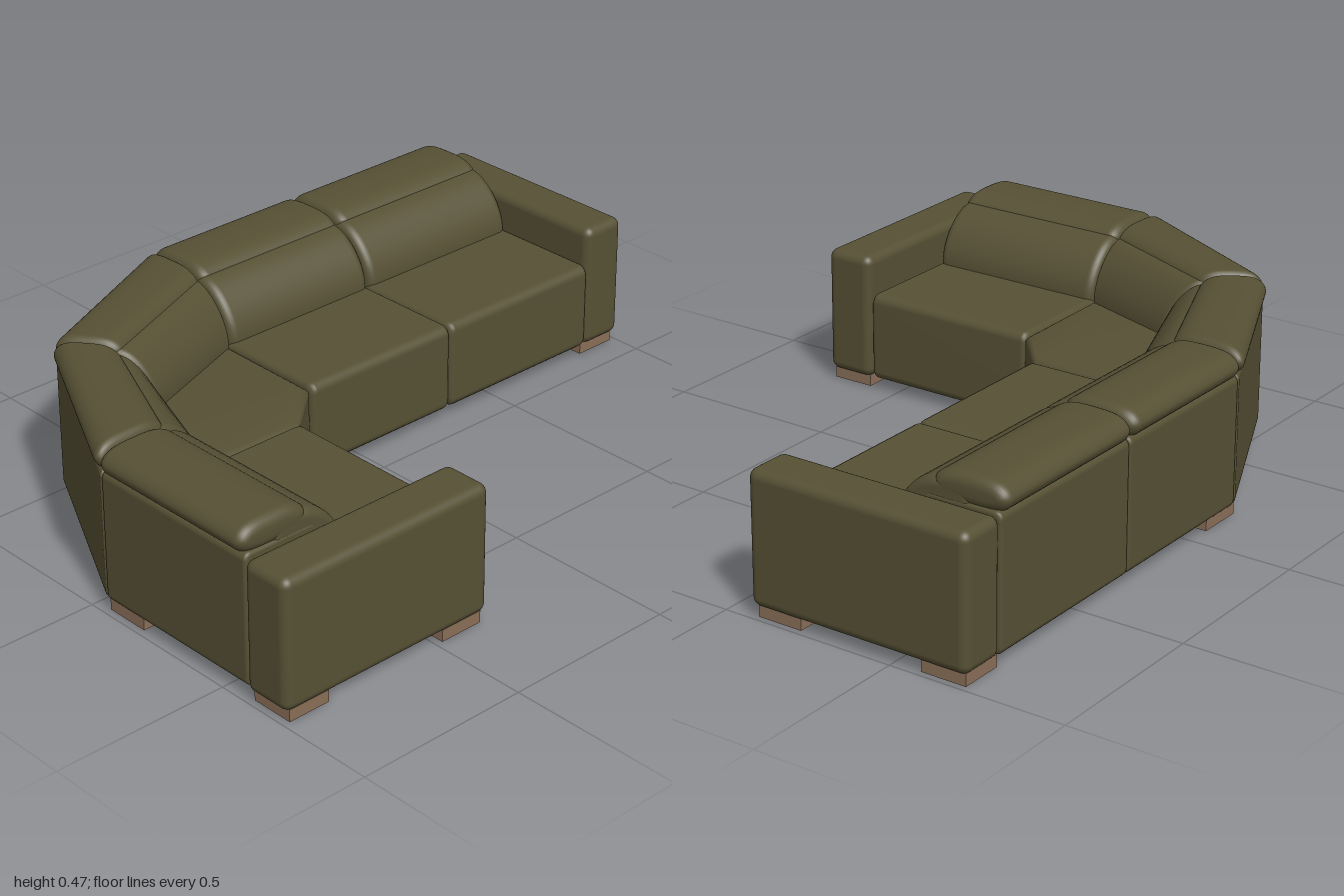
import * as THREE from 'three';
import { toCreasedNormals } from 'three/addons/utils/BufferGeometryUtils.js';
import { RoundedBoxGeometry } from 'three/addons/geometries/RoundedBoxGeometry.js';

// Section joints along the back: outer point (x, z) and inward direction per unit of depth
const JOINTS = [
  { p: [0.862, -0.735], d: [0, 1] },
  { p: [0.318, -0.735], d: [0, 1] },
  { p: [-0.19, -0.735], d: [0, 1] },
  { p: [-0.72, -0.49], d: [0.48, 0.68] },
  { p: [-1, 0.045], d: [1, 0] },
  { p: [-1, 0.58], d: [1, 0] },
];

// Counter-clockwise rounded rectangle in (depth, height)
function roundedRect(d0, d1, y0, y1, r) {
  const pts = [];
  const corners = [[d1 - r, y0 + r, -1], [d1 - r, y1 - r, 0], [d0 + r, y1 - r, 1], [d0 + r, y0 + r, 2]];
  for (const [cx, cy, q] of corners) {
    for (let i = 0; i <= 5; i++) {
      const a = (q + i / 5) * Math.PI / 2;
      pts.push([cx + r * Math.cos(a), cy + r * Math.sin(a)]);
    }
  }
  return pts;
}

// Smooth closed outline through a few points
function softOutline(points, n = 44) {
  const curve = new THREE.CatmullRomCurve3(points.map(([d, y]) => new THREE.Vector3(d, y, 0)), true);
  return curve.getPoints(n).slice(0, n).map((v) => [v.x, v.y]);
}

// Upholstered body: a profile carried between two joints, with rounded ends
function cushion(profile, a, b, r, gap = 0.002) {
  const ds = profile.map((q) => q[0]), ys = profile.map((q) => q[1]);
  const cd = (Math.min(...ds) + Math.max(...ds)) / 2, hd = (Math.max(...ds) - Math.min(...ds)) / 2;
  const cy = (Math.min(...ys) + Math.max(...ys)) / 2, hy = (Math.max(...ys) - Math.min(...ys)) / 2;
  const length = Math.hypot(b.p[0] - a.p[0], b.p[1] - a.p[1]);
  const slices = [];
  for (let i = 0; i <= 6; i++) {
    const ang = i / 6 * Math.PI / 2;
    slices.push([(gap + r * (1 - Math.cos(ang))) / length, r * (1 - Math.sin(ang))]);
  }
  for (const [t, inset] of slices.slice().reverse()) slices.push([1 - t, inset]);

  const pos = [], idx = [], n = profile.length;
  const put = (t, d, y) => {
    const at = (j, k) => j.p[k] + j.d[k] * d;
    pos.push(at(a, 0) * (1 - t) + at(b, 0) * t, y, at(a, 1) * (1 - t) + at(b, 1) * t);
  };
  for (const [t, inset] of slices) {
    const sd = 1 - inset / hd, sy = 1 - inset / hy;
    for (const [d, y] of profile) put(t, cd + (d - cd) * sd, cy + (y - cy) * sy);
  }
  const last = slices.length - 1, c0 = slices.length * n, c1 = c0 + 1;
  put(slices[0][0], cd, cy);
  put(slices[last][0], cd, cy);
  for (let k = 0; k < n; k++) {
    const m = (k + 1) % n;
    for (let i = 0; i < last; i++) {
      const p = i * n, q = p + n;
      idx.push(p + k, p + m, q + m, p + k, q + m, q + k);
    }
    idx.push(c0, m, k, c1, last * n + k, last * n + m);
  }
  const g = new THREE.BufferGeometry();
  g.setAttribute('position', new THREE.Float32BufferAttribute(pos, 3));
  g.setIndex(idx);
  g.computeVertexNormals();
  return g;
}

export function createModel() {
  const group = new THREE.Group();
  const fabric = new THREE.MeshStandardMaterial({ color: 0x565034 });
  fabric.name = 'olive upholstery';
  const wood = new THREE.MeshStandardMaterial({ color: 0x8a6f58 });
  wood.name = 'brown wood';

  const add = (name, geometry, material = fabric) => {
    const mesh = new THREE.Mesh(geometry, material);
    mesh.name = name;
    group.add(mesh);
    return mesh;
  };
  const box = (name, x0, x1, y0, y1, z0, z1, r) => {
    add(name, new RoundedBoxGeometry(x1 - x0, y1 - y0, z1 - z0, 4, r))
      .position.set((x0 + x1) / 2, (y0 + y1) / 2, (z0 + z1) / 2);
  };

  // Profiles in (depth from the back, height)
  const wall = roundedRect(0.012, 0.24, 0.03, 0.4, 0.02);
  const seat = roundedRect(0.1, 0.664, 0.03, 0.288, 0.026);
  const headrest = softOutline([
    [0, 0.425], [0.015, 0.4], [0.06, 0.388], [0.14, 0.39], [0.205, 0.41],
    [0.215, 0.44], [0.18, 0.464], [0.1, 0.47], [0.035, 0.463], [0.008, 0.445],
  ]);
  const backrest = softOutline([
    [0.1, 0.22], [0.22, 0.2], [0.32, 0.22], [0.337, 0.28], [0.325, 0.34],
    [0.285, 0.4], [0.235, 0.436], [0.18, 0.445], [0.11, 0.43], [0.09, 0.33],
  ]);

  // Five back sections, seats on the three straight ones
  for (let i = 0; i < 5; i++) {
    const a = JOINTS[i], b = JOINTS[i + 1];
    add('backWall', cushion(wall, a, b, 0.01, 0));
    add('backCushion', cushion(backrest, a, b, 0.026));
    add('headrest', cushion(headrest, a, b, 0.03));
    if (i < 2 || i === 4) add('seat', cushion(seat, a, b, 0.018, 0));
  }

  // Corner seat
  const outline = [[-0.198, -0.078], [-0.192, -0.66], [-0.66, -0.43], [-0.92, 0.048], [-0.335, 0.043]];
  const bevel = 0.022;
  const corner = new THREE.ExtrudeGeometry(
    new THREE.Shape(outline.map(([x, z]) => new THREE.Vector2(x, -z))),
    { depth: 0.256 - 2 * bevel, bevelSize: bevel, bevelThickness: bevel, bevelOffset: -bevel, bevelSegments: 5 });
  corner.rotateX(-Math.PI / 2).translate(0, 0.03 + bevel, 0);
  add('cornerSeat', toCreasedNormals(corner, 0.6));

  // Arms
  box('leftArm', 0.858, 0.998, 0.03, 0.396, -0.722, -0.073, 0.026);
  box('rightArm', -0.998, -0.333, 0.03, 0.396, 0.583, 0.73, 0.026);

  // Feet: x, z, width, depth, turn
  const feet = [
    [0.92, -0.155, 0.125, 0.13, 0], [0.92, -0.645, 0.125, 0.13, 0],
    [-0.14, -0.645, 0.135, 0.13, 0], [-0.17, -0.14, 0.08, 0.08, 0],
    [-0.62, -0.45, 0.12, 0.09, 0.45], [-0.38, 0.14, 0.06, 0.06, 0],
    [-0.917, 0.115, 0.125, 0.13, 0], [-0.917, 0.657, 0.125, 0.125, 0],
    [-0.415, 0.657, 0.13, 0.125, 0],
  ];
  for (const [x, z, w, d, turn] of feet) {
    const foot = add('foot', new THREE.BoxGeometry(w, 0.034, d), wood);
    foot.position.set(x, 0.017, z);
    foot.rotation.y = turn;
  }
  return group;
}
